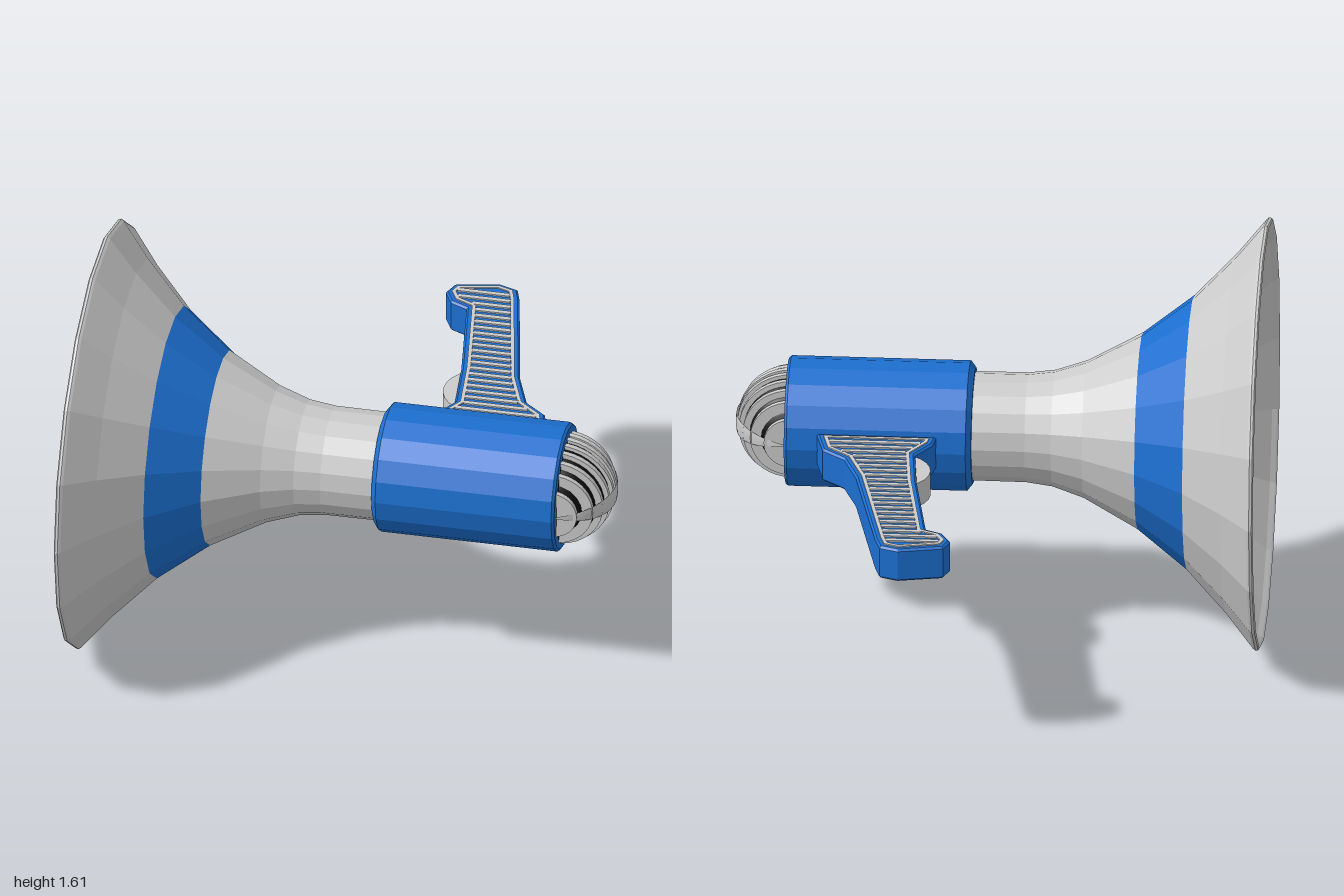
import * as THREE from 'three';

const AXIS_Y = 0.805, AXIS_Z = 0.185, SIDES = 18;

const grey = new THREE.MeshStandardMaterial({ color: 0xcccccc, flatShading: true });
const blue = new THREE.MeshStandardMaterial({ color: 0x1c6fd0, flatShading: true });
const dark = new THREE.MeshStandardMaterial({ color: 0x0a0a0a });

function add(parent, name, geometry, material) {
  const mesh = new THREE.Mesh(geometry, material);
  mesh.name = name;
  parent.add(mesh);
  return mesh;
}

// Turned part along x, from [x, radius] pairs
function turned(profile) {
  const points = profile.map(([x, r]) => new THREE.Vector2(r, x));
  return new THREE.LatheGeometry(points, SIDES).rotateZ(-Math.PI / 2);
}

// Moves a counter-clockwise outline inwards by d with mitred corners
function inset(points, d) {
  const n = points.length;
  return points.map((p, i) => {
    const a = p.clone().sub(points[(i + n - 1) % n]).normalize();
    const b = points[(i + 1) % n].clone().sub(p).normalize();
    const miter = new THREE.Vector2(-a.y - b.y, a.x + b.x);
    return p.clone().addScaledVector(miter, d / (1 + a.dot(b)));
  });
}

// Smallest and largest x of an outline at height y
function span(points, y) {
  const xs = [];
  points.forEach((p, i) => {
    const q = points[(i + 1) % points.length];
    if ((p.y > y) !== (q.y > y)) xs.push(p.x + (q.x - p.x) * (y - p.y) / (q.y - p.y));
  });
  return [Math.min(...xs), Math.max(...xs)];
}

// Flat plate in the xz plane, centred on y = 0
function plate(outline, thickness, bevel = 0, hole = null) {
  const shape = new THREE.Shape(outline);
  if (hole) shape.holes.push(new THREE.Path(hole));
  const depth = thickness - 2 * bevel;
  return new THREE.ExtrudeGeometry(shape, {
    depth, bevelEnabled: bevel > 0, bevelThickness: bevel, bevelSize: bevel,
    bevelOffset: -bevel, bevelSegments: 1,
  }).translate(0, 0, -depth / 2).rotateX(-Math.PI / 2);
}

function buildHorn() {
  const horn = new THREE.Group();
  horn.name = 'horn';
  // Inner wall, rounded rim and outer wall of the bell
  add(horn, 'bell', turned([
    [-0.1, 0], [-0.1, 0.19], [-0.2, 0.203], [-0.32, 0.245], [-0.525, 0.355], [-0.715, 0.5],
    [-0.87, 0.66], [-0.975, 0.785], [-0.993, 0.8], [-1, 0.808], [-0.995, 0.815], [-0.985, 0.817],
    [-0.975, 0.809], [-0.87, 0.68], [-0.715, 0.518],
  ]), grey);
  add(horn, 'bellBand', turned([[-0.715, 0.518], [-0.525, 0.371]]), blue);
  add(horn, 'neck', turned([
    [-0.525, 0.371], [-0.32, 0.26], [-0.2, 0.22], [-0.1, 0.207], [0.12, 0.206],
  ]), grey);
  add(horn, 'innerCone', turned([
    [-0.91, 0], [-0.91, 0.065], [-0.895, 0.08], [-0.4, 0.145], [-0.1, 0.185],
  ]), grey);
  return horn;
}

function buildBody() {
  const body = new THREE.Group();
  body.name = 'body';
  add(body, 'housing', turned([
    [0.1, 0], [0.1, 0.22], [0.12, 0.246], [0.795, 0.246], [0.805, 0.238], [0.805, 0],
  ]), blue);
  add(body, 'grilleBacking', new THREE.CircleGeometry(0.208, 36).rotateY(Math.PI / 2), dark)
    .position.x = 0.807;

  // Domed grille of parallel round slats over a dark core
  const grille = new THREE.Group();
  grille.name = 'grille';
  grille.position.x = 0.785;
  body.add(grille);
  add(grille, 'grilleCore', new THREE.SphereGeometry(0.196, 32, 20), dark).scale.z = 0.96;
  for (let i = 0; i < 10; i++) {
    const z = (i - 4.5) * 0.041;
    const r = Math.sqrt(0.209 ** 2 - z * z);
    add(grille, 'grilleSlat', new THREE.CylinderGeometry(r, r, 0.022, 40).rotateX(Math.PI / 2), grey)
      .position.z = z;
  }
  // Tapering strap across the slats: a gore of a sphere, facing +x
  const half = 0.18;
  const gore = new THREE.SphereGeometry(0.213, 4, 20, Math.PI - half, 2 * half, 0.1, Math.PI - 0.2);
  const strap = add(grille, 'grilleStrap', gore.rotateX(Math.PI / 2),
    new THREE.MeshStandardMaterial({ color: 0xcccccc, side: THREE.DoubleSide }));
  strap.scale.x = 1.01;
  return body;
}

function buildHandle() {
  const handle = new THREE.Group();
  handle.name = 'handle';
  // Outline as x and distance towards the back
  const outline = [
    [0.23, 0.05], [0.68, 0.05], [0.65, 0.18], [0.565, 0.25], [0.51, 0.4], [0.405, 0.91],
    [0.385, 0.975], [0.315, 1.0], [0.145, 0.965], [0.122, 0.91], [0.155, 0.845], [0.22, 0.815],
    [0.28, 0.42], [0.3, 0.2], [0.24, 0.11],
  ].map(([x, y]) => new THREE.Vector2(x, y));
  add(handle, 'grip', plate(outline, 0.134, 0.008), blue);

  // Raised frame and the ribs it holds, showing on both faces
  const frameInner = inset(outline, 0.035);
  add(handle, 'gripFrame', plate(inset(outline, 0.021), 0.144, 0, frameInner), grey);
  for (let i = 0; i < 22; i++) {
    const d = 0.115 + i * 0.0385;
    const [x0, x1] = span(frameInner, d);
    const rib = add(handle, 'gripRib', new THREE.BoxGeometry(x1 - x0, 0.146, 0.019), grey);
    rib.position.set((x0 + x1) / 2, 0, -d);
  }
  // Rounded trigger standing out of the grip's edge
  add(handle, 'trigger', new THREE.CylinderGeometry(0.14, 0.14, 0.1, 24), grey)
    .position.set(0.375, 0, -0.305);
  return handle;
}

export function createModel() {
  const model = new THREE.Group();
  model.name = 'megaphone';
  const barrel = new THREE.Group();
  barrel.name = 'barrel';
  barrel.position.set(0, AXIS_Y, AXIS_Z);
  barrel.add(buildHorn(), buildBody());
  const handle = buildHandle();
  handle.position.y = AXIS_Y;
  model.add(barrel, handle);
  return model;
}
